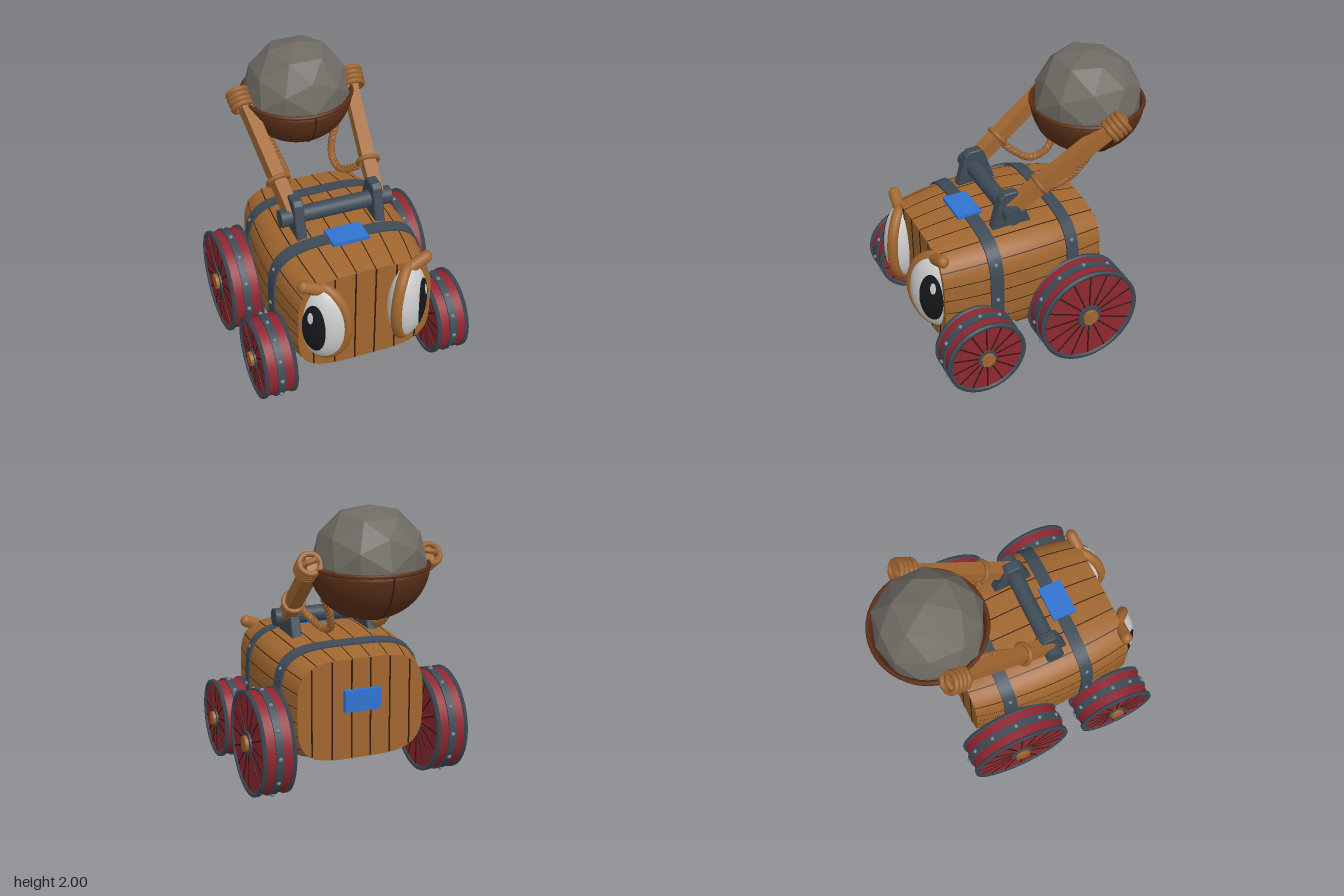
import * as THREE from 'three';

const mat = (color, extra = {}) => new THREE.MeshStandardMaterial({ color, ...extra });
const two = { side: THREE.DoubleSide };
const WOOD = mat(0xa0662f), WOOD_SKIN = mat(0xa0662f, two), SEAM = mat(0x2e1a0d, two);
const IRON = mat(0x3d4a55), IRON_SKIN = mat(0x3d4a55, two), RIVET = mat(0x77818a);
const RED = mat(0x8f2631), BLUE = mat(0x2f73d0), ROPE = mat(0x9a6230);
const BOWL = mat(0x5a2f17, two), ROCK = mat(0x6e6a63, { flatShading: true });
const WHITE = mat(0xd8d8d8), WHITE_SKIN = mat(0xe8e8e8, two), BLACK = mat(0x15181b, two);
const V = (x, y, z) => new THREE.Vector3(x, y, z);

function add(parent, name, geo, material, x = 0, y = 0, z = 0) {
  const m = new THREE.Mesh(geo, material);
  m.name = name;
  m.position.set(x, y, z);
  parent.add(m);
  return m;
}

// Surface from a rule fn(u, v) with u and v in 0..1
function surface(fn, nu, nv) {
  const pos = [], idx = [];
  for (let j = 0; j <= nv; j++) for (let i = 0; i <= nu; i++) pos.push(...fn(i / nu, j / nv));
  for (let j = 0; j < nv; j++) for (let i = 0; i < nu; i++) {
    const a = j * (nu + 1) + i, b = a + nu + 1;
    idx.push(a, a + 1, b, a + 1, b + 1, b);
  }
  const g = new THREE.BufferGeometry();
  g.setAttribute('position', new THREE.Float32BufferAttribute(pos, 3));
  g.setIndex(idx);
  g.computeVertexNormals();
  return g;
}

// Barrel: rounded-square cross-section that swells towards the middle
const Z0 = -0.4, Z1 = 0.765, CY = 0.61, N = 3.8;
const halfSize = z => {
  const t = (z - 0.22) / 0.6;
  return [0.533 - 0.075 * t * t, 0.41 - 0.055 * t * t];
};
const outline = a => [Math.cos(a), Math.sin(a)].map(c => Math.sign(c) * Math.abs(c) ** (2 / N));
const skin = (a, z, off = 0) => {
  const [w, h] = halfSize(z), [x, y] = outline(a);
  return [x * (w + off), CY + y * (h + off), z];
};
const partner = f => (1 - Math.abs(f) ** N) ** (1 / N);

function addBarrel(root) {
  const g = new THREE.Group();
  g.name = 'barrelBody';
  root.add(g);
  const TAU = Math.PI * 2;
  add(g, 'barrelSides', surface((u, v) => skin(u * TAU, Z0 + v * (Z1 - Z0)), 96, 16), WOOD_SKIN);
  for (const z of [Z0, Z1]) {
    add(g, z > 0 ? 'frontLid' : 'backLid', surface((u, v) => {
      const p = skin(u * TAU, z);
      return [p[0] * v, CY + (p[1] - CY) * v, z];
    }, 96, 1), WOOD_SKIN);
    // plank joints on the lid
    const [w, h] = halfSize(z);
    for (const f of [-0.78, -0.46, -0.15, 0.15, 0.46, 0.78])
      add(g, 'lidSeam', new THREE.BoxGeometry(0.01, 2 * h * partner(f) - 0.01, 0.006), SEAM, f * w, CY, z);
  }
  // joints between staves, on all four sides
  for (const s of [1, -1]) for (const f of [-0.7, -0.42, -0.14, 0.14, 0.42, 0.7]) for (const upright of [true, false]) {
    const rule = (u, v) => {
      const z = Z0 + v * (Z1 - Z0), [w, h] = halfSize(z), k = f + (u - 0.5) * 0.014;
      const a = k, b = s * partner(k);
      return upright ? [a * w, CY + b * (h + 0.002), z] : [b * (w + 0.002), CY + a * h, z];
    };
    add(g, 'staveSeam', surface(rule, 1, 16), SEAM);
  }
  // iron hoops with rivets
  for (const z of [0.413, -0.16]) {
    const prof = [[-0.046, -0.01], [-0.046, 0.012], [0.046, 0.012], [0.046, -0.01]];
    for (let i = 0; i < 3; i++) {
      const [p, q] = [prof[i], prof[i + 1]];
      add(g, 'hoop', surface((u, v) => skin(u * TAU, z + p[0] + (q[0] - p[0]) * v, p[1] + (q[1] - p[1]) * v), 96, 1), IRON_SKIN);
    }
    for (const s of [1, -1]) for (const y of [0.35, 0.6, 0.87]) {
      const x = (halfSize(z)[0] + 0.012) * partner((y - CY) / halfSize(z)[1]);
      add(g, 'hoopRivet', new THREE.SphereGeometry(0.015, 8, 6), RIVET, s * x, y, z);
    }
  }
  add(g, 'topPlate', new THREE.BoxGeometry(0.255, 0.026, 0.17), BLUE, 0, 1.03, 0.425);
  add(g, 'backPlate', new THREE.BoxGeometry(0.255, 0.15, 0.04), BLUE, 0, 0.675, Z0 - 0.015);
}

// Wheel: wide red drum, iron rims, riveted middle band, hub
function makeWheel(name, r, spokes) {
  const g = new THREE.Group(), axle = new THREE.Group();
  g.name = name;
  axle.rotation.z = -Math.PI / 2;
  g.add(axle);
  const cyl = (n, rad, h, m) => add(axle, n, new THREE.CylinderGeometry(rad, rad, h, 48), m);
  cyl('drum', r - 0.012, 0.204, RED);
  cyl('middleBand', r, 0.052, IRON);
  cyl('hubRing', r * 0.235, 0.23, IRON);
  cyl('hub', r * 0.08 + 0.026, 0.276, WOOD);
  const rim = [[r - 0.028, 0.09], [r, 0.09], [r, 0.113], [r - 0.028, 0.113], [r - 0.028, 0.09]];
  for (const s of [1, -1])
    add(axle, 'rim', new THREE.LatheGeometry(rim.map(p => new THREE.Vector2(p[0], s * p[1])), 48), IRON_SKIN);
  const len = r - 0.02 - r * 0.2;
  for (let i = 0; i < spokes; i++) {
    const a = i / spokes * Math.PI * 2, mid = r * 0.2 + len / 2;
    const spoke = add(axle, 'faceSeam', new THREE.BoxGeometry(len, 0.21, 0.01), SEAM, Math.cos(a) * mid, 0, -Math.sin(a) * mid);
    spoke.rotation.y = a;
  }
  for (let i = 0; i < 12; i++) {
    const a = i / 12 * Math.PI * 2;
    add(axle, 'rimRivet', new THREE.SphereGeometry(0.015, 8, 6), RIVET, Math.cos(a) * r, 0, Math.sin(a) * r);
  }
  return g;
}

// Eye: bulging ball in a wooden ring, turned outwards, with a log brow
function makeEye() {
  const g = new THREE.Group(), eye = new THREE.Group();
  g.name = 'eye';
  eye.position.set(0.305, 0.645, 0.755);
  eye.rotation.y = 0.76;
  g.add(eye);
  const A = 0.185, B = 0.295, D = 0.12;
  add(eye, 'eyeball', new THREE.SphereGeometry(1, 32, 24), WHITE).scale.set(A, B, D);
  add(eye, 'eyeRing', new THREE.TorusGeometry(1, 0.16, 12, 40), WOOD).scale.set(0.186, 0.27, 0.24);
  const patch = (n, cx, cy, rx, ry, lift, m) => add(eye, n, surface((u, v) => {
    const x = cx + Math.cos(u * Math.PI * 2) * rx * v, y = cy + Math.sin(u * Math.PI * 2) * ry * v;
    return [x, y, D * Math.sqrt(1 - (x / A) ** 2 - (y / B) ** 2) + lift];
  }, 32, 6), m);
  patch('pupil', 0.01, 0.005, 0.085, 0.19, 0.005, BLACK);
  patch('glint', 0.03, 0.1, 0.02, 0.042, 0.009, WHITE_SKIN);
  const brow = between(g, 'brow', new THREE.CapsuleGeometry(0.041, 0.13, 6, 14).rotateX(Math.PI / 2), WOOD, V(0.45, 0.97, 0.75), V(0.29, 0.9, 0.765));
  brow.scale.y = 1.05;
  return g;
}

// Places a part halfway between two points with its z axis along them
function between(parent, name, geo, material, a, b) {
  const m = add(parent, name, geo, material);
  m.position.copy(a).lerp(b, 0.5);
  m.lookAt(m.position.clone().add(b).sub(a));
  return m;
}

// One throwing arm with bracket, lashings and slack rope
function makeArm() {
  const g = new THREE.Group();
  g.name = 'throwingArm';
  const lo = V(0.3, 1.12, 0.23), hi = V(0.392, 1.66, -0.55), at = t => lo.clone().lerp(hi, t);
  between(g, 'armBeam', new THREE.BoxGeometry(0.09, 0.1, lo.distanceTo(hi)), WOOD, lo, hi);
  const s = new THREE.Shape([[-0.34, 1.0], [-0.07, 1.0], [-0.145, 1.225], [-0.17, 1.25], [-0.25, 1.25], [-0.275, 1.225]]
    .map(p => new THREE.Vector2(p[0], p[1])));
  const bracket = new THREE.ExtrudeGeometry(s, { depth: 0.056, bevelSize: 0.007, bevelThickness: 0.007, bevelSegments: 1 });
  add(g, 'bracket', bracket.translate(0, 0, -0.028).rotateY(Math.PI / 2), IRON, 0.28);
  add(g, 'pivotCap', new THREE.CylinderGeometry(0.062, 0.062, 0.06, 24).rotateZ(Math.PI / 2), IRON, 0.365, 1.12, 0.22);
  for (let i = 0; i < 4; i++) {
    const p = at(0.89 + i * 0.037);
    p.x += 0.022;
    between(g, 'lashing', new THREE.TorusGeometry(0.068, 0.02, 8, 24), ROPE, p, p.clone().add(hi).sub(lo)).position.copy(p);
  }
  // loop from the arm end over the bowl rim
  const loop = add(g, 'rimLoop', new THREE.TorusGeometry(0.066, 0.02, 8, 24), ROPE, 0.41, 1.65, -0.5);
  loop.rotation.set(-1.1, 0.25, 0);
  const p = at(0.29);
  between(g, 'armLoop', new THREE.TorusGeometry(0.07, 0.017, 8, 20), ROPE, p, p.clone().add(hi).sub(lo)).position.copy(p);
  const path = new THREE.CatmullRomCurve3([V(0.31, 1.27, 0.0), V(0.25, 1.19, -0.07), V(0.19, 1.13, -0.19),
    V(0.185, 1.17, -0.31), V(0.22, 1.28, -0.38), V(0.27, 1.4, -0.41)]);
  // twisted strands
  for (let k = 0; k < 3; k++) {
    const pts = [], n = 60, f = path.computeFrenetFrames(n);
    for (let i = 0; i <= n; i++) {
      const a = i * 0.8 + k * Math.PI * 2 / 3;
      pts.push(path.getPointAt(i / n).addScaledVector(f.normals[i], 0.013 * Math.cos(a)).addScaledVector(f.binormals[i], 0.013 * Math.sin(a)));
    }
    add(g, 'slackRope', new THREE.TubeGeometry(new THREE.CatmullRomCurve3(pts), 120, 0.015, 6), ROPE);
  }
  return g;
}

function addBowl(root) {
  const g = new THREE.Group();
  g.name = 'bowlAndBoulder';
  g.position.set(0, 1.62, -0.515);
  root.add(g);
  const pts = [], arc = (r, d, i) => new THREE.Vector2(r * Math.sin(i / 16 * Math.PI / 2), -d * Math.cos(i / 16 * Math.PI / 2));
  for (let i = 0; i <= 16; i++) pts.push(arc(0.388, 0.355, i));
  for (let i = 16; i >= 0; i--) pts.push(arc(0.365, 0.33, i));
  add(g, 'bowl', new THREE.LatheGeometry(pts, 48), BOWL);
  add(g, 'bowlRim', new THREE.TorusGeometry(0.383, 0.014, 8, 48).rotateX(Math.PI / 2), BOWL);
  for (const a of [0, Math.PI / 2]) {
    const seam = new THREE.TorusGeometry(0.388, 0.005, 6, 40, Math.PI).rotateZ(Math.PI).scale(1, 0.915, 1).rotateY(a);
    add(g, 'bowlSeam', seam, SEAM);
  }
  // faceted boulder with slightly uneven corners
  const rock = new THREE.IcosahedronGeometry(0.372, 1), p = rock.attributes.position, v = V(0, 0, 0);
  for (let i = 0; i < p.count; i++) {
    v.fromBufferAttribute(p, i);
    const n = Math.sin(Math.round(v.x * 100) * 1.7 + Math.round(v.y * 100) * 2.3 + Math.round(v.z * 100) * 3.1);
    v.multiplyScalar(1 + 0.018 * n);
    p.setXYZ(i, v.x, Math.min(v.y, 0.364), v.z);
  }
  rock.computeVertexNormals();
  add(g, 'boulder', rock, ROCK, 0, 0.016, 0.005);
}

export function createModel() {
  const root = new THREE.Group();
  root.name = 'catapultCart';
  addBarrel(root);
  for (const [name, r, y, z, spokes] of [['frontWheel', 0.281, 0.305, 0.585, 14], ['backWheel', 0.363, 0.383, -0.18, 16]]) {
    for (const s of [1, -1]) {
      const w = makeWheel(name, r, spokes);
      w.position.set(s * 0.622, y, z);
      if (s < 0) w.rotation.y = Math.PI;
      root.add(w);
    }
    add(root, 'axle', new THREE.CylinderGeometry(0.04, 0.04, 1.1, 16).rotateZ(Math.PI / 2), WOOD, 0, y, z);
  }
  for (const make of [makeEye, makeArm]) for (const s of [1, -1]) {
    const part = make();
    part.scale.x = s;
    root.add(part);
  }
  add(root, 'roller', new THREE.CylinderGeometry(0.057, 0.057, 0.74, 24).rotateZ(Math.PI / 2), IRON, 0, 1.122, 0.22);
  addBowl(root);
  return root;
}
